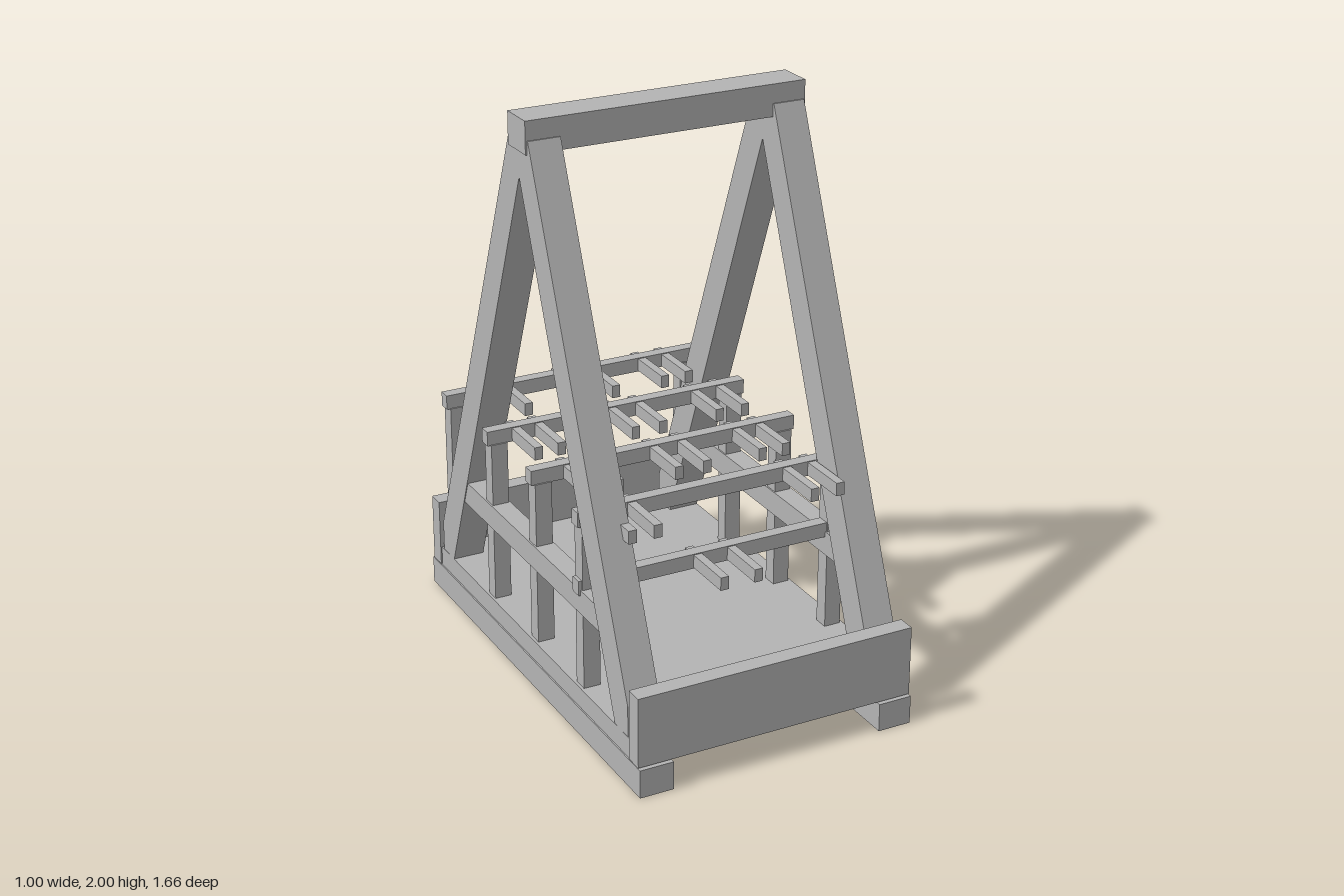
import * as THREE from 'three';

export function createModel() {
  const model = new THREE.Group();
  const grey = new THREE.MeshStandardMaterial({ color: 0xb4b4b4 });
  grey.name = 'plain grey';

  // box given by its min and max on each axis
  function box(name, x0, x1, y0, y1, z0, z1) {
    const mesh = new THREE.Mesh(new THREE.BoxGeometry(x1 - x0, y1 - y0, z1 - z0), grey);
    mesh.position.set((x0 + x1) / 2, (y0 + y1) / 2, (z0 + z1) / 2);
    mesh.name = name;
    model.add(mesh);
  }
  // the same box on the left and right
  function pair(name, x0, x1, ...rest) {
    box(name + 'Left', x0, x1, ...rest);
    box(name + 'Right', -x1, -x0, ...rest);
  }

  // base: skids, floor and end boards
  pair('skid', 0.38, 0.5, 0, 0.1, -0.83, 0.83);
  box('floor', -0.495, 0.495, 0.09, 0.172, -0.775, 0.775);
  box('frontBoard', -0.5, 0.5, 0.103, 0.35, 0.755, 0.818);
  box('backBoard', -0.5, 0.5, 0.103, 0.35, -0.818, -0.755);

  // A-shaped side frames, drawn in z and y
  const half = [[0.07, 1.935], [0.735, 0.28], [0.735, 0.17], [0.645, 0.17]];
  const outline = [
    ...half, [0, 1.8],
    ...half.slice().reverse().map(([z, y]) => [-z, y]),
  ].map(([z, y]) => new THREE.Vector2(-z, y));
  const frameGeometry = new THREE.ExtrudeGeometry(new THREE.Shape(outline), { depth: 0.113, bevelEnabled: false });
  frameGeometry.rotateY(Math.PI / 2);
  for (const [name, x] of [['sideFrameLeft', 0.381], ['sideFrameRight', -0.494]]) {
    const frame = new THREE.Mesh(frameGeometry, grey);
    frame.position.x = x;
    frame.name = name;
    model.add(frame);
  }
  box('topBeam', -0.5, 0.5, 1.89, 2, -0.065, 0.065);
  pair('brace', 0.42, 0.491, 0.445, 0.53, -0.56, 0.56);

  // rack rows: cross bar with pegs
  function rack(z, y, pegs) {
    box('rackBar', -0.497, 0.497, y, y + 0.052, z - 0.022, z + 0.022);
    for (const x of pegs) box('peg', x - 0.015, x + 0.015, y + 0.003, y + 0.049, z - 0.04, z + 0.205);
  }
  const rows = [
    [0.375, [-0.395, -0.305, 0.265, 0.36]],
    [0.025, [-0.365, -0.265, -0.045, 0.06, 0.27, 0.36]],
    [-0.327, [-0.39, -0.305, -0.025, 0.08, 0.3, 0.4]],
    [-0.677, [-0.37, -0.265, -0.05, 0.075, 0.27, 0.365]],
  ];
  for (const [z, pegs] of rows) {
    rack(z, 0.753, pegs);
    pair('post', 0.425, 0.485, 0.17, 0.755, z - 0.027, z + 0.027);
  }
  rack(0.375, 0.511, [-0.065, 0.06]);

  return model;
}
